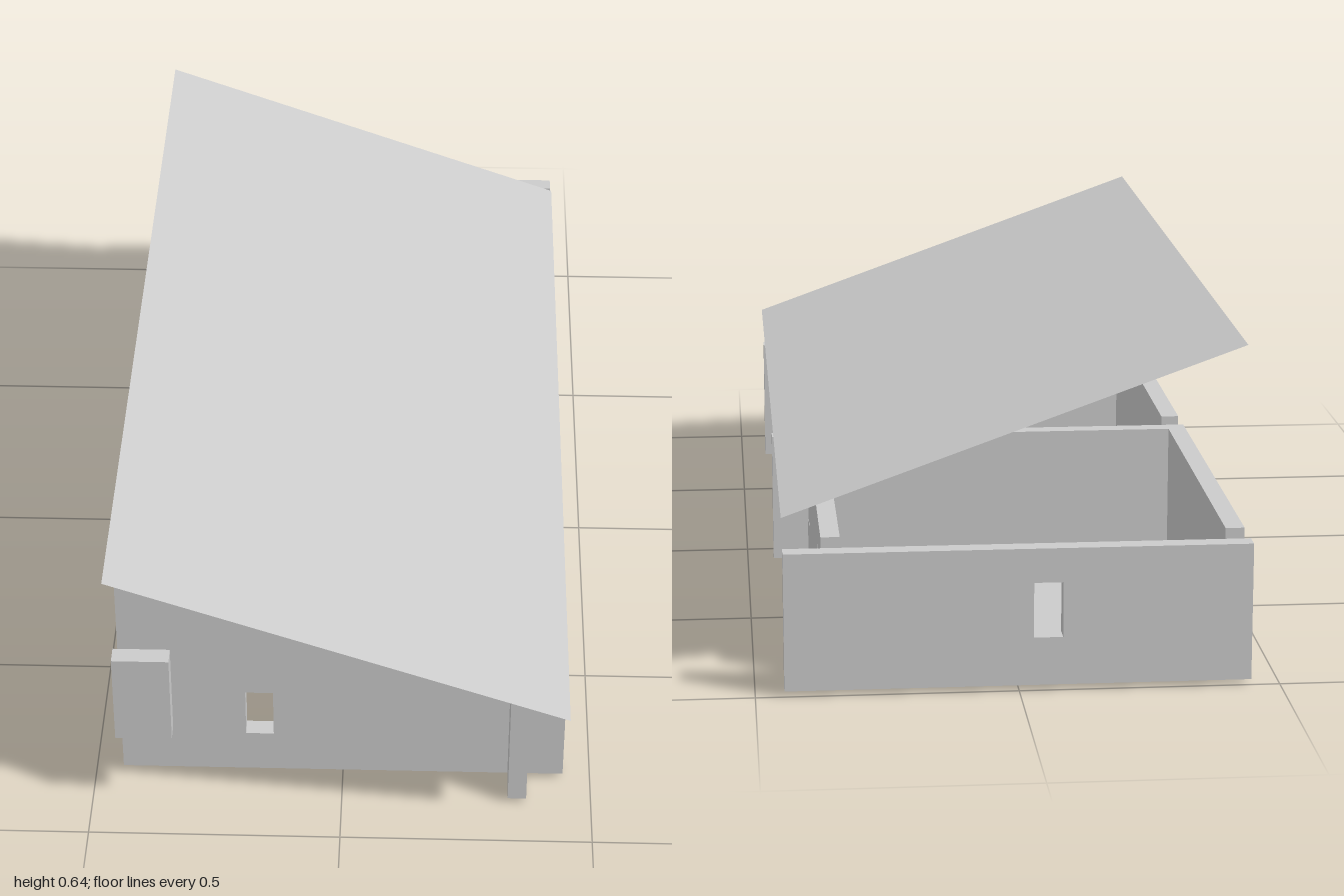
import * as THREE from 'three';

const U = 1 / 9;            // planning grid
const T = 0.037;            // wall thickness
const BASE = 0.011;         // floor thickness, walls start here
const LOW = 0.28;           // top of the low walls
const W = 0.445;            // half width of the house

const material = new THREE.MeshStandardMaterial({ color: 0xcccccc, flatShading: true });
const thin = new THREE.MeshStandardMaterial({ color: 0xcccccc, side: THREE.DoubleSide });

function add(parent, name, geometry, mat = material) {
  const mesh = new THREE.Mesh(geometry, mat);
  mesh.name = name;
  parent.add(mesh);
  return mesh;
}

// Box given by its limits on each axis
function block(parent, name, [x0, x1], [y0, y1], [z0, z1]) {
  const mesh = add(parent, name, new THREE.BoxGeometry(x1 - x0, y1 - y0, z1 - z0));
  mesh.position.set((x0 + x1) / 2, (y0 + y1) / 2, (z0 + z1) / 2);
  return mesh;
}

// Flat outline with window openings, extruded along z
function slab(points, depth, windows = []) {
  const shape = new THREE.Shape(points.map(([x, y]) => new THREE.Vector2(x, y)));
  for (const x of windows) {
    const a = x - U / 4, b = x + U / 4;
    shape.holes.push(new THREE.Path([[a, 0.105], [a, 0.213], [b, 0.213], [b, 0.105]]
      .map(([px, py]) => new THREE.Vector2(px, py))));
  }
  return new THREE.ExtrudeGeometry(shape, { depth, bevelEnabled: false });
}

const rect = (x0, x1, y0, y1) => [[x0, y0], [x1, y0], [x1, y1], [x0, y1]];

export function createModel() {
  const house = new THREE.Group();
  house.name = 'house';

  // Stepped front gable wall with one window
  const gable = [[-W, BASE], [3 * U, BASE]];
  for (let i = 6; i >= 0; i--) {
    const y = 0.56 - i * 0.04;
    gable.push([(i - 3) * U, y], [i === 0 ? -W : (i - 4) * U, y]);
  }
  // each step is one grid unit wide
  const outline = gable.map(([x, y]) => [x, y]);
  add(house, 'frontGableWall', slab(outline, T, [-1.5 * U])).position.z = 0.815 - T;

  // Back wall standing apart, with one window
  add(house, 'backWall', slab(rect(-W, W, BASE, LOW), T, [-U / 2])).position.z = -1;

  // Long right wall with four windows
  const side = slab(rect(-0.89, 0.89, BASE, LOW), T, [-6.5, -1.5, 1.5, 6.5].map((n) => n * U));
  side.rotateY(Math.PI / 2);
  add(house, 'longSideWall', side).position.x = 3 * U;

  // Cross wall and the wall ends that pass through the long wall
  block(house, 'crossWall', [-W, 3 * U], [BASE, LOW], [-0.11, -0.074]);
  for (const [z0, z1] of [[0.815 - T, 0.815], [-0.11, -0.074]]) {
    block(house, 'wallEnd', [3 * U + T, W], [BASE, LOW], [z0, z1]);
  }

  // Opposite long wall in two parts with a gap
  block(house, 'shortSideWallBack', [-W, -W + T], [BASE, LOW], [-0.89, -0.11]);
  block(house, 'shortSideWallFront', [-W, -W + T], [BASE, LOW], [0, 0.815 - T]);

  // Raised panel in front of the gable
  block(house, 'frontPanel', [-W, -3 * U], [0.187, 0.386], [0.89, 0.927]);

  // Main floor with notched edges, drawn as x and -z
  const floor = slab([
    [2 * U, 2 * U], [2 * U, 8 * U], [U, 8 * U], [U, 7 * U], [0, 7 * U], [0, 8 * U],
    [-U, 8 * U], [-U, 7 * U], [-3 * U, 7 * U], [-3 * U, 8 * U], [-W, 8 * U],
    [-W, 5 * U], [-3 * U, 5 * U], [-3 * U, 2 * U],
  ], BASE);
  floor.rotateX(-Math.PI / 2);
  add(house, 'mainFloor', floor);

  // Two floor strips in the front room
  block(house, 'floorStripOuter', [-W, -3 * U], [0, BASE], [2 * U, 6 * U]);
  block(house, 'floorStripInner', [0, U], [0, BASE], [2 * U, 6 * U]);

  // Thin sloping roof
  const roof = new THREE.PlaneGeometry(Math.hypot(2 * W, 0.32), 1.89);
  roof.rotateX(-Math.PI / 2).rotateZ(-Math.atan2(0.32, 2 * W));
  add(house, 'roof', roof, thin).position.set(0, 0.48, 0.055);

  return house;
}
